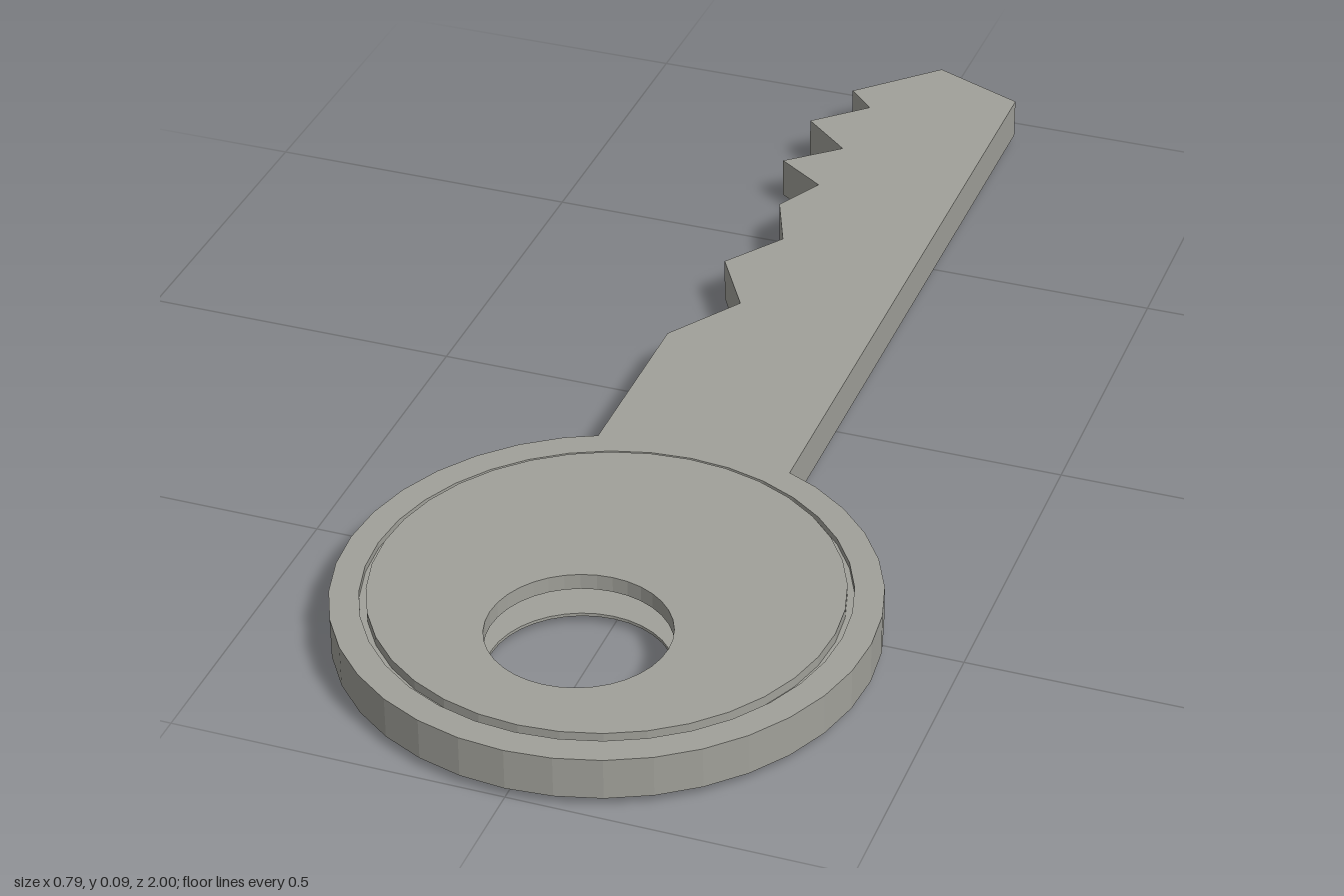
import * as THREE from 'three';

const BOTTOM = 0.015, TOP = 0.08, SPINE = -0.025, ROOT = 0.25;
const material = new THREE.MeshStandardMaterial({
  color: 0xa1a19a, flatShading: true, side: THREE.DoubleSide,
});

// Plan shape from [x, z] points; lies flat after rotateX(-90 degrees)
const planShape = (points) =>
  new THREE.Shape(points.map(([x, z]) => new THREE.Vector2(x, -z)));

function addMesh(group, name, geometry) {
  const mesh = new THREE.Mesh(geometry, material);
  mesh.name = name;
  group.add(mesh);
}

function plate(shape, y0, y1) {
  return new THREE.ExtrudeGeometry(shape, {
    depth: y1 - y0, bevelEnabled: false, curveSegments: 18,
  }).rotateX(-Math.PI / 2).translate(0, y0, 0);
}

// Round plate of the bow, with a round hole centred at holeZ
function bowPlate(radius, y0, y1, holeRadius = 0.134, holeZ = 0.716) {
  const shape = new THREE.Shape().absarc(0, -0.605, radius, 0, Math.PI * 2, false);
  shape.holes.push(new THREE.Path().absarc(0, -holeZ, holeRadius, 0, Math.PI * 2, true));
  return plate(shape, y0, y1);
}

// Upright wall along [x, z, bottom height] points
function wall(points) {
  const positions = [], indices = [];
  points.forEach(([x, z, y = BOTTOM], i) => {
    positions.push(x, y, z, x, TOP, z);
    if (i > 0) {
      const a = 2 * i - 2;
      indices.push(a, a + 1, a + 2, a + 2, a + 1, a + 3);
    }
  });
  const geometry = new THREE.BufferGeometry();
  geometry.setAttribute('position', new THREE.Float32BufferAttribute(positions, 3));
  geometry.setIndex(indices);
  const flat = geometry.toNonIndexed();
  flat.computeVertexNormals();
  return flat;
}

export function createModel() {
  const key = new THREE.Group();
  key.name = 'key';

  // Bow: outer rim, and a hollow centre between two thin discs
  addMesh(key, 'bowRim', bowPlate(0.395, BOTTOM, TOP, 0.352, 0.605));
  addMesh(key, 'bowGrooveFloor', bowPlate(0.353, 0.06, 0.07));
  addMesh(key, 'bowTopDisc', bowPlate(0.342, 0.07, 0.085));
  addMesh(key, 'bowBottomSeat', bowPlate(0.353, BOTTOM, 0.017));
  addMesh(key, 'bowBottomDisc', bowPlate(0.342, 0.012, BOTTOM));

  // Solid spine of the blade, up to the pointed tip
  const spine = planShape([
    [SPINE, ROOT], [0.15, ROOT], [0.15, -0.935], [0, -1], [SPINE, -0.975],
  ]);
  addMesh(key, 'bladeSpine', plate(spine, BOTTOM, TOP));

  // Cut edge: thin top skin and tooth walls, hollow underneath
  const teeth = [
    [SPINE, -0.975], [-0.12, -0.88], [-0.075, -0.835], [-0.155, -0.76],
    [-0.075, -0.69], [-0.155, -0.62], [-0.075, -0.565], [-0.115, -0.485, 0.014],
    [-0.075, -0.385, 0.013], [-0.14, -0.29, 0.011], [-0.075, -0.18, 0.008],
    [-0.152, -0.06, 0.0], [-0.152, ROOT, 0.01],
  ];
  const skin = planShape([...teeth, [SPINE, ROOT]]);
  addMesh(key, 'toothTop',
    new THREE.ShapeGeometry(skin).rotateX(-Math.PI / 2).translate(0, TOP, 0));
  addMesh(key, 'toothWall', wall(teeth));

  return key;
}
